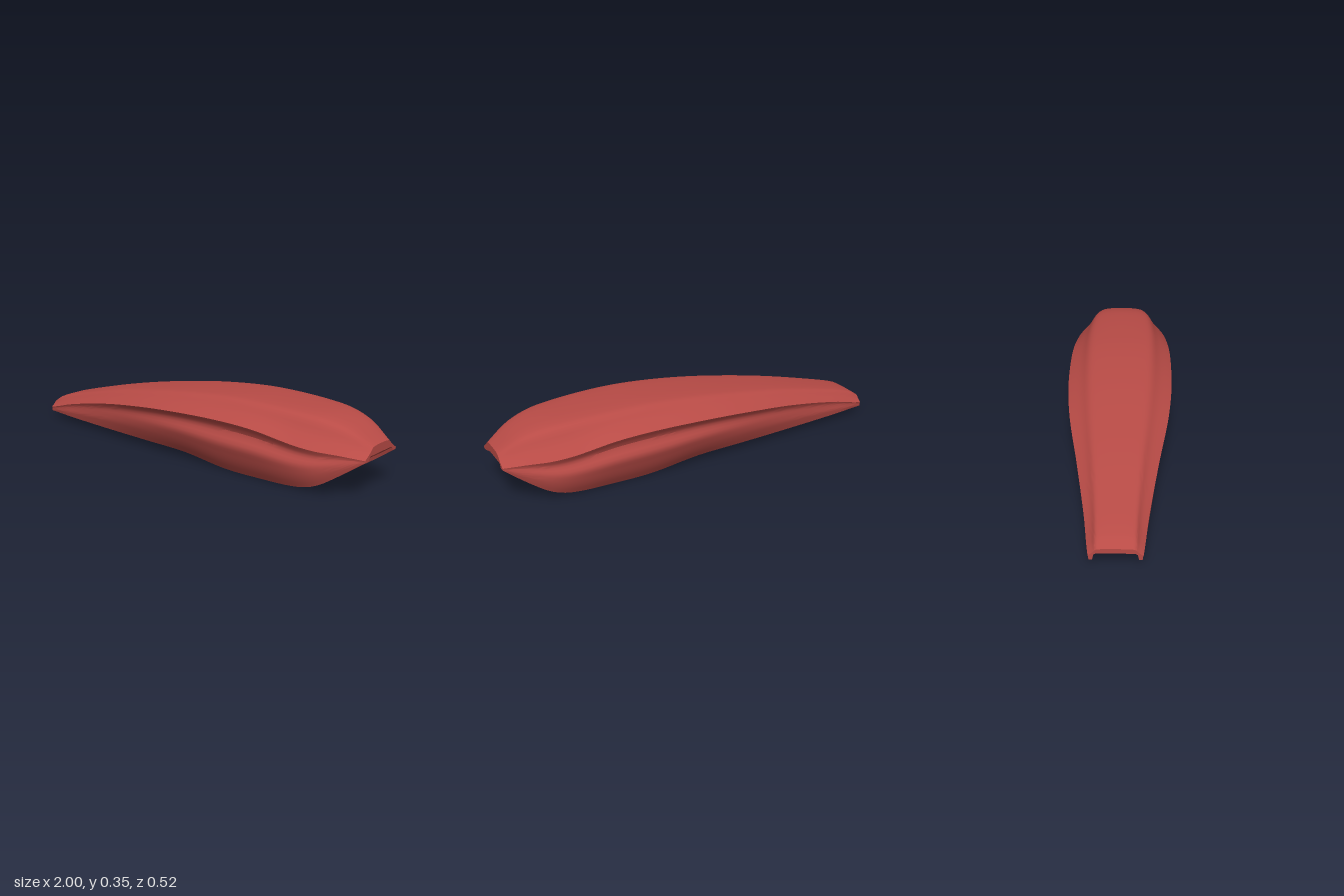
import * as THREE from 'three';
import { toCreasedNormals } from 'three/addons/utils/BufferGeometryUtils.js';

// Stations along the length:
// [x, top height, shoulder half-width, crease half-width, crease height,
//  foot half-width, foot height, flank bulge]
const STATIONS = [
  [-1.0, 0.09, 0.082, 0.115, 0.056, 0.111, 0.034, 0.0],
  [-0.95, 0.121, 0.084, 0.122, 0.068, 0.115, 0.033, 0.05],
  [-0.8, 0.165, 0.09, 0.14, 0.11, 0.13, 0.031, 0.1],
  [-0.5, 0.236, 0.112, 0.186, 0.174, 0.156, 0.031, 0.25],
  [-0.2, 0.29, 0.136, 0.234, 0.22, 0.18, 0.033, 0.5],
  [0.05, 0.324, 0.15, 0.256, 0.243, 0.19, 0.03, 0.8],
  [0.3, 0.344, 0.157, 0.26, 0.251, 0.195, 0.003, 1.0],
  [0.5, 0.344, 0.157, 0.254, 0.242, 0.196, 0.001, 1.0],
  [0.7, 0.335, 0.147, 0.236, 0.209, 0.197, 0.009, 0.8],
  [0.8, 0.322, 0.132, 0.215, 0.196, 0.191, 0.035, 0.6],
  [0.9, 0.289, 0.105, 0.178, 0.188, 0.168, 0.095, 0.3],
  [1.0, 0.225, 0.07, 0.131, 0.174, 0.129, 0.165, 0.0],
];
const lerp = THREE.MathUtils.lerp;

// Smooth interpolation of all station values at a given x
function stationAt(x) {
  let i = 0;
  while (i < STATIONS.length - 2 && x > STATIONS[i + 1][0]) i++;
  const a = STATIONS[i], b = STATIONS[i + 1], h = b[0] - a[0], t = (x - a[0]) / h;
  const slope = (n, k) => {
    const p = STATIONS[Math.max(n - 1, 0)], q = STATIONS[Math.min(n + 1, STATIONS.length - 1)];
    return (q[k] - p[k]) / (q[0] - p[0]);
  };
  const t2 = t * t, t3 = t2 * t;
  return a.map((v, k) => k === 0 ? x :
    (2 * t3 - 3 * t2 + 1) * v + (t3 - 2 * t2 + t) * h * slope(i, k) +
    (3 * t2 - 2 * t3) * b[k] + (t3 - t2) * h * slope(i + 1, k));
}

// Sampled smooth curve through [z, y] points
function smooth(points, n) {
  const curve = new THREE.CatmullRomCurve3(
    points.map(([z, y]) => new THREE.Vector3(z, y, 0)), false, 'centripetal');
  return curve.getPoints(n).map((p) => [p.x, p.y]);
}

// Closed cross-section: roof, creased flank, foot and shallow underside channel
function section(x) {
  const [, top, ws, we, ye, wb, yb, bulge] = stationAt(x);
  const rise = top - ye, drop = ye - yb;
  const roof = smooth([
    [0, top], [ws * 0.65, top - rise * 0.03], [ws, top - rise * 0.13],
    [lerp(ws, we, 0.42), top - rise * 0.55], [we, ye],
  ], 14);
  const side = (t, out) => [lerp(we, wb, t) + out, ye - drop * t];
  const dip = -0.05 * drop;
  const flank = smooth([
    [we, ye], side(0.18, dip + 0.002 * bulge), side(0.4, 0.025 * bulge + dip * (1 - bulge)),
    side(0.6, 0.024 * bulge), side(0.8, 0.016 * bulge), [wb, yb],
  ], 16).slice(1);
  const depth = lerp(0.033, 0.02, THREE.MathUtils.smoothstep(x, 0.7, 1));
  const wi = Math.min(0.102, wb - 0.014);
  const channel = [
    [wi, yb], [wi - 0.006, yb + depth * 0.8], [wi - 0.016, yb + depth * 0.97], [0, yb + depth],
  ];
  const half = [...roof, ...flank, ...channel];
  const mirrored = half.slice(1, -1).reverse().map(([z, y]) => [-z, y]);
  return [...half, ...mirrored];
}

// Skin lofted through the cross-sections
function loft(xs) {
  const rings = xs.map(section), n = rings[0].length;
  const positions = [], index = [];
  rings.forEach((ring, i) => ring.forEach(([z, y]) => positions.push(xs[i], y, z)));
  for (let i = 0; i < rings.length - 1; i++) {
    for (let j = 0; j < n; j++) {
      const k = (j + 1) % n, a = i * n + j, b = i * n + k;
      index.push(a, b, a + n, b, b + n, a + n);
    }
  }
  const geometry = new THREE.BufferGeometry();
  geometry.setAttribute('position', new THREE.Float32BufferAttribute(positions, 3));
  geometry.setIndex(index);
  return toCreasedNormals(geometry, 0.5);
}

// Flat end face closing the skin at x
function endFace(x) {
  const ring = section(x);
  const faces = THREE.ShapeUtils.triangulateShape(
    ring.map(([z, y]) => new THREE.Vector2(-z, y)), []);
  const geometry = new THREE.BufferGeometry();
  geometry.setAttribute('position', new THREE.Float32BufferAttribute(
    ring.flatMap(([z, y]) => [x, y, z]), 3));
  geometry.setIndex(faces.flatMap(([a, b, c]) => x > 0 ? [a, b, c] : [a, c, b]));
  geometry.computeVertexNormals();
  return geometry;
}

export function createModel() {
  const group = new THREE.Group();
  group.name = 'curvedCover';
  const red = new THREE.MeshStandardMaterial({ color: 0xb84b46 });
  red.name = 'red';

  const add = (name, geometry) => {
    const mesh = new THREE.Mesh(geometry, red);
    mesh.name = name;
    group.add(mesh);
  };

  const steps = 64;
  const xs = Array.from({ length: steps + 1 }, (_, i) => -Math.cos((i / steps) * Math.PI));
  add('shell', loft(xs));
  add('tailEnd', endFace(-1));
  add('noseEnd', endFace(1));
  return group;
}
